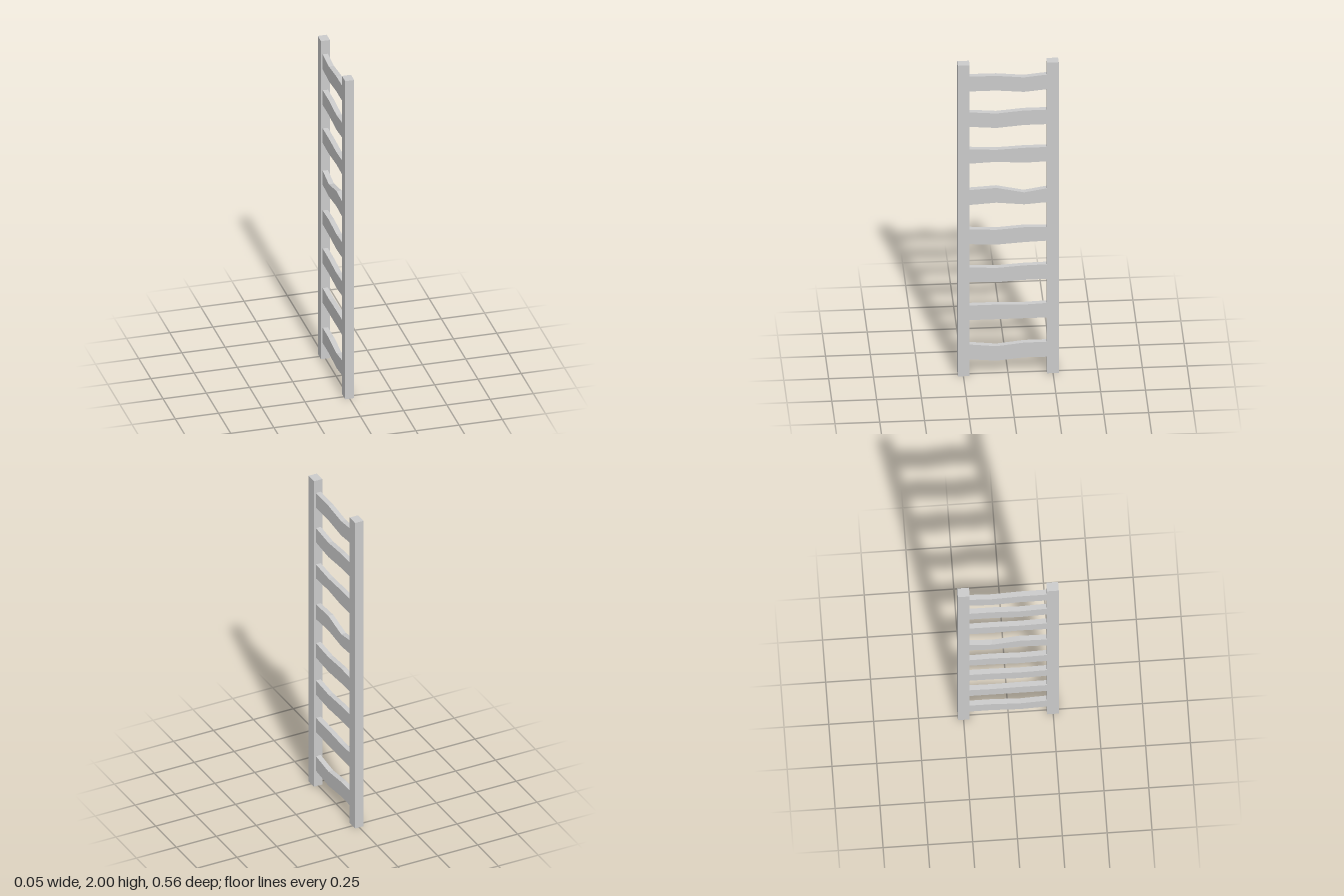
import * as THREE from 'three';

const material = new THREE.MeshStandardMaterial({ color: 0xcccccc, flatShading: true });

// Stations along each rung (running towards -z): two ends and two kinks
const stations = [-0.215, -0.065, 0.09, 0.217];

// Each rung: heights of its top edge and bottom edge at the stations
const rungs = [
  [[0.196, 0.179, 0.196, 0.196], [0.101, 0.086, 0.101, 0.1]],
  [[0.447, 0.447, 0.441, 0.446], [0.353, 0.353, 0.353, 0.353]],
  [[0.692, 0.683, 0.693, 0.695], [0.6, 0.591, 0.6, 0.601]],
  [[0.937, 0.928, 0.939, 0.934], [0.842, 0.833, 0.843, 0.847]],
  [[1.19, 1.198, 1.163, 1.184], [1.094, 1.103, 1.086, 1.095]],
  [[1.452, 1.443, 1.45, 1.45], [1.36, 1.366, 1.354, 1.358]],
  [[1.69, 1.677, 1.69, 1.69], [1.597, 1.584, 1.597, 1.597]],
  [[1.92, 1.919, 1.903, 1.916], [1.825, 1.825, 1.81, 1.822]],
];

// Wavy plank: side outline extruded across its thickness
function makeRung([top, bottom]) {
  const lower = stations.map((s, i) => new THREE.Vector2(s, bottom[i]));
  const upper = stations.map((s, i) => new THREE.Vector2(s, top[i])).reverse();
  const geometry = new THREE.ExtrudeGeometry(new THREE.Shape([...lower, ...upper]), {
    depth: 0.03,
    bevelEnabled: false,
  });
  geometry.rotateY(Math.PI / 2);
  geometry.translate(-0.016, 0, 0);
  return new THREE.Mesh(geometry, material);
}

export function createModel() {
  const ladder = new THREE.Group();
  ladder.name = 'ladder';

  // Upright rails
  for (const [name, z] of [['frontRail', 0.248], ['backRail', -0.249]]) {
    const rail = new THREE.Mesh(new THREE.BoxGeometry(0.052, 2, 0.066), material);
    rail.position.set(0, 1, z);
    rail.name = name;
    ladder.add(rail);
  }

  // Rungs from bottom to top
  rungs.forEach((edges, i) => {
    const rung = makeRung(edges);
    rung.name = `rung${i + 1}`;
    ladder.add(rung);
  });

  return ladder;
}
